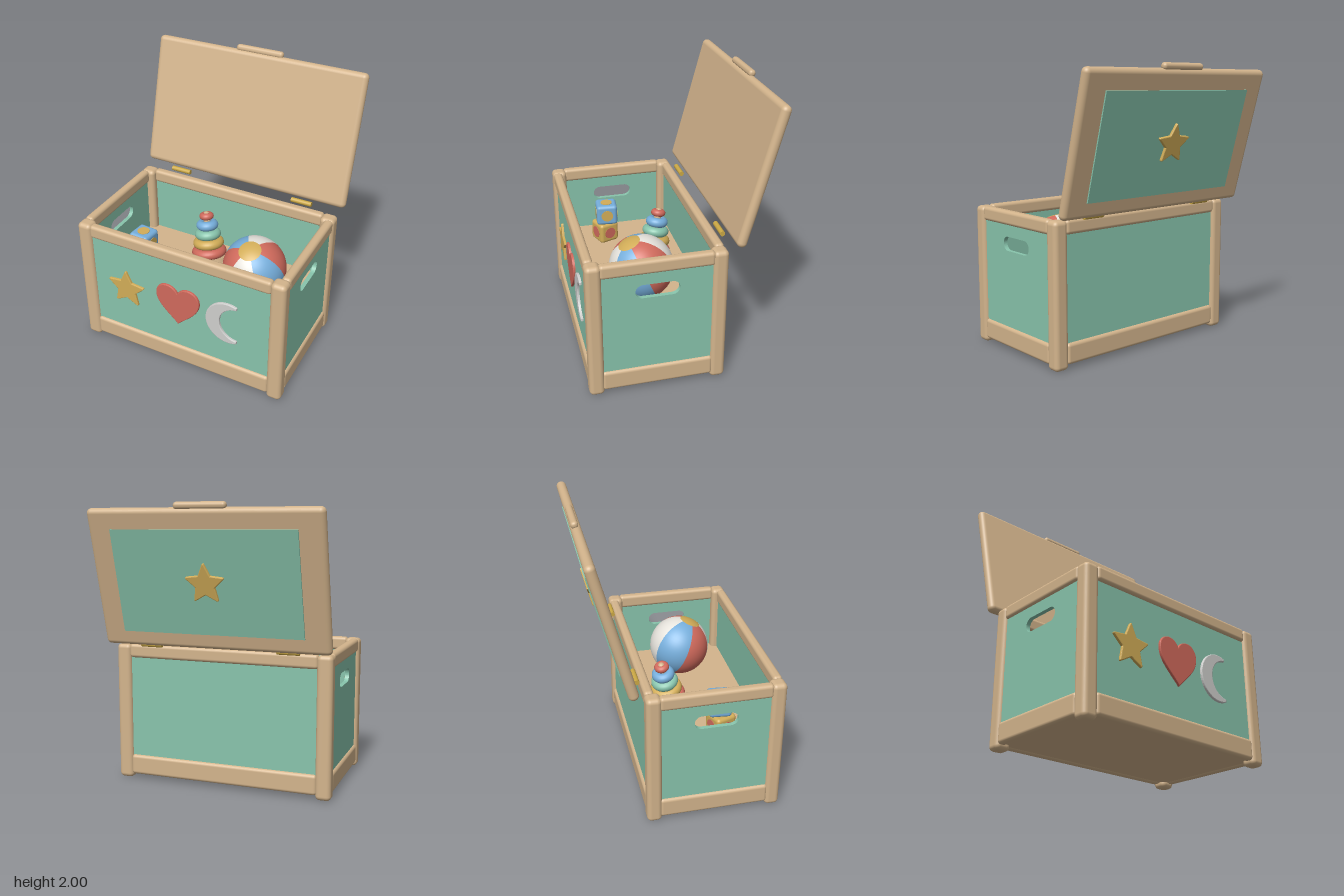
import * as THREE from 'three';
import { RoundedBoxGeometry } from 'three/addons/geometries/RoundedBoxGeometry.js';

const material = (name, color) => {
  const m = new THREE.MeshStandardMaterial({ color });
  m.name = name;
  return m;
};

const MID_Z = 0.175; // depth centre of the chest body
const FLOOR = 0.48;  // raised inner floor

export function createModel() {
  const wood = material('wood', 0xd3b48c);
  const teal = material('teal', 0x88c4ac);
  const yellow = material('yellow', 0xd2ad58);
  const red = material('red', 0xd06a5c);
  const silver = material('silver', 0xcfcfcd);
  const white = material('white', 0xe8e5de);
  const blue = material('blue', 0x76aedb);
  const brass = material('brass', 0xcca945);

  const model = new THREE.Group();
  model.name = 'toyChest';

  const add = (parent, name, geometry, mat, x = 0, y = 0, z = 0) => {
    const mesh = new THREE.Mesh(geometry, mat);
    mesh.name = name;
    mesh.position.set(x, y, z);
    parent.add(mesh);
    return mesh;
  };
  const group = (parent, name, x, y, z) => {
    const g = new THREE.Group();
    g.name = name;
    g.position.set(x, y, z);
    parent.add(g);
    return g;
  };
  const rounded = (w, h, d, r) => new RoundedBoxGeometry(w, h, d, 4, r);

  // Frame: corner posts and rails
  for (const sx of [-1, 1]) {
    for (const sz of [-1, 1]) {
      add(model, 'cornerPost', rounded(0.11, 1, 0.105, 0.032), wood, sx * 0.745, 0.5, MID_Z + sz * 0.423);
    }
  }
  for (const [y, h] of [[0.952, 0.1], [0.103, 0.146]]) {
    for (const s of [-1, 1]) {
      add(model, 'longRail', rounded(1.4, h, 0.065, 0.024), wood, 0, y, MID_Z + s * 0.438);
      add(model, 'sideRail', rounded(0.065, h, 0.77, 0.024), wood, s * 0.762, y, MID_Z);
    }
  }

  // Panels: plain front and back, sides with hand slots
  for (const s of [-1, 1]) {
    add(model, 'longPanel', new THREE.BoxGeometry(1.44, 0.9, 0.03), teal, 0, 0.5, MID_Z + s * 0.435);
  }
  const side = new THREE.Shape();
  side.moveTo(-0.41, 0.06).lineTo(0.41, 0.06).lineTo(0.41, 0.95).lineTo(-0.41, 0.95).closePath();
  const slot = new THREE.Path();
  slot.absarc(0.1, 0.77, 0.05, -Math.PI / 2, Math.PI / 2, false);
  slot.absarc(-0.1, 0.77, 0.05, Math.PI / 2, Math.PI * 1.5, false);
  slot.closePath();
  side.holes.push(slot);
  const sideGeometry = new THREE.ExtrudeGeometry(side, { depth: 0.03, bevelEnabled: false, curveSegments: 16 });
  sideGeometry.translate(0, 0, -0.015).rotateY(Math.PI / 2);
  for (const s of [-1, 1]) add(model, 'sidePanel', sideGeometry, teal, s * 0.762, 0, MID_Z);

  // Underside and raised inner floor
  add(model, 'underside', new THREE.BoxGeometry(1.5, 0.04, 0.86), wood, 0, 0.06, MID_Z);
  add(model, 'innerFloor', new THREE.BoxGeometry(1.495, 0.03, 0.845), wood, 0, FLOOR - 0.015, MID_Z);

  // Emblem shapes
  const starShape = (r) => {
    const shape = new THREE.Shape();
    const at = (i) => {
      const a = Math.PI / 2 + (i * Math.PI) / 5;
      return new THREE.Vector2(Math.cos(a), Math.sin(a)).multiplyScalar(i % 2 ? r * 0.5 : r * 1.05);
    };
    for (let i = 0; i < 10; i += 2) {
      const tip = at(i), a = at(i - 1).lerp(tip, 0.78), b = at(i + 1).lerp(tip, 0.78), inner = at(i + 1);
      if (i === 0) shape.moveTo(a.x, a.y);
      else shape.lineTo(a.x, a.y);
      shape.quadraticCurveTo(tip.x, tip.y, b.x, b.y);
      shape.lineTo(inner.x, inner.y);
    }
    shape.closePath();
    return shape;
  };
  const heart = new THREE.Shape();
  heart.moveTo(0, -0.16);
  heart.bezierCurveTo(0.05, -0.1, 0.17, -0.03, 0.17, 0.07);
  heart.bezierCurveTo(0.17, 0.175, 0.04, 0.19, 0, 0.11);
  heart.bezierCurveTo(-0.04, 0.19, -0.17, 0.175, -0.17, 0.07);
  heart.bezierCurveTo(-0.17, -0.03, -0.05, -0.1, 0, -0.16);
  const moon = new THREE.Shape();
  moon.absarc(0, 0, 0.17, 1.17, Math.PI * 2 - 1.17, false);
  moon.absarc(0.073, 0, 0.137, -1.62, 1.62, true);
  moon.closePath();
  const emblem = (shape) => new THREE.ExtrudeGeometry(shape, {
    depth: 0.014, bevelThickness: 0.006, bevelSize: 0.006, bevelOffset: -0.006, bevelSegments: 2, curveSegments: 18,
  });
  const face = 0.623;
  add(model, 'starEmblem', emblem(starShape(0.155)), yellow, -0.422, 0.543, face);
  add(model, 'heartEmblem', emblem(heart), red, 0, 0.543, face);
  add(model, 'moonEmblem', emblem(moon), silver, 0.39, 0.54, face);

  // Open lid, leaning back
  const lid = group(model, 'lid', 0, 1.49, -0.497);
  lid.rotation.x = -0.262;
  add(lid, 'lidBoard', rounded(1.64, 0.975, 0.07, 0.034), wood);
  add(lid, 'lidPanel', new THREE.BoxGeometry(1.3, 0.725, 0.02), teal, 0, -0.01, -0.035);
  add(lid, 'lidStar', emblem(starShape(0.145)), yellow, 0, -0.01, -0.044).rotation.y = Math.PI;
  add(lid, 'lidHandle', rounded(0.365, 0.048, 0.05, 0.022), wood, 0, 0.5, 0);

  // Hinges
  const barrel = new THREE.CylinderGeometry(0.018, 0.018, 0.157, 20).rotateZ(Math.PI / 2);
  for (const s of [-1, 1]) add(model, 'hinge', barrel, brass, s * 0.503, 1.011, -0.32);

  // Beach ball: six gores and two caps
  const ball = group(model, 'beachBall', 0.375, 0.715, 0.192);
  ball.rotation.x = 0.41;
  const cap = 0.36, R = 0.227;
  const goreColours = [red, white, blue];
  for (let k = 0; k < 6; k++) {
    const gore = new THREE.SphereGeometry(R, 10, 24, (k * Math.PI) / 3, Math.PI / 3, cap, Math.PI - 2 * cap);
    add(ball, 'ballGore', gore, goreColours[k % 3]);
  }
  for (const start of [0, Math.PI - cap]) {
    add(ball, 'ballCap', new THREE.SphereGeometry(R, 48, 6, 0, Math.PI * 2, start, cap), yellow);
  }

  // Leaning ring stacker
  const stack = group(model, 'ringStacker', -0.083, FLOOR + 0.033, 0.008);
  stack.quaternion.setFromUnitVectors(
    new THREE.Vector3(0, 1, 0), new THREE.Vector3(-0.075, 0.4, -0.083).normalize());
  add(stack, 'stackerBase', new THREE.CylinderGeometry(0.135, 0.14, 0.03, 40), wood, 0, 0.015, 0);
  add(stack, 'stackerPole', new THREE.CylinderGeometry(0.026, 0.026, 0.35, 20), wood, 0, 0.175, 0);
  add(stack, 'stackerTip', new THREE.SphereGeometry(0.027, 20, 12), wood, 0, 0.352, 0);
  const rings = [[0.131, red], [0.117, yellow], [0.099, teal], [0.083, blue], [0.054, red]];
  rings.forEach(([r, mat], i) => {
    const tube = i === 4 ? 0.026 : 0.036;
    const ring = new THREE.TorusGeometry(r - tube, tube, 16, 40).rotateX(Math.PI / 2);
    add(stack, 'stackerRing', ring, mat, 0, 0.064 + i * 0.07, 0);
  });

  // Two stacked blocks with a dot on every side
  const block = (mat, dotMat, x, y, z, turn) => {
    const b = group(model, 'toyBlock', x, y, z);
    b.rotation.y = turn;
    add(b, 'blockBody', rounded(0.16, 0.16, 0.16, 0.025), mat);
    const dot = new THREE.CylinderGeometry(0.045, 0.045, 0.006, 28);
    for (const s of [-1, 1]) {
      add(b, 'blockDot', dot, dotMat, 0, s * 0.08, 0);
      add(b, 'blockDot', dot, dotMat, 0, 0, s * 0.08).rotation.x = Math.PI / 2;
      add(b, 'blockDot', dot, dotMat, s * 0.08, 0, 0).rotation.z = Math.PI / 2;
    }
  };
  block(yellow, red, -0.505, FLOOR + 0.08, 0.285, 0.35);
  block(blue, yellow, -0.493, FLOOR + 0.24, 0.273, -0.09);

  return model;
}
